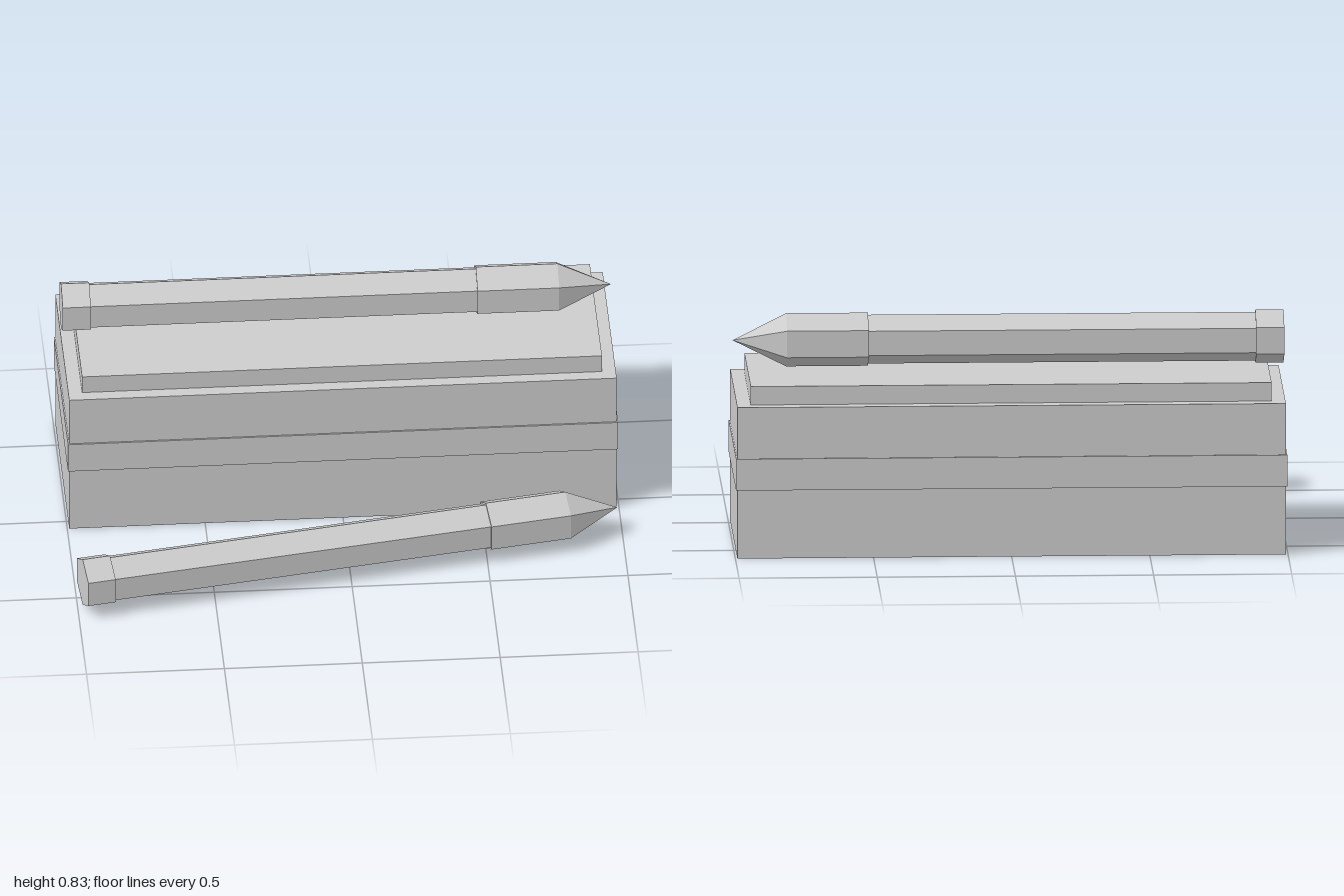
import * as THREE from 'three';

export function createModel() {
  const model = new THREE.Group();
  model.name = 'pencilsAndBox';
  const grey = new THREE.MeshStandardMaterial({ color: 0xcccccc, flatShading: true });
  grey.name = 'plain grey';

  // Box: body, raised band around it and stepped lid, all centred on z = -0.3
  const box = new THREE.Group();
  box.name = 'pencilBox';
  const slab = (name, width, depth, bottom, top) => {
    const mesh = new THREE.Mesh(new THREE.BoxGeometry(width, top - bottom, depth), grey);
    mesh.name = name;
    mesh.position.set(0, (bottom + top) / 2, -0.3);
    box.add(mesh);
  };
  slab('boxBody', 1.985, 0.694, 0, 0.557);
  slab('boxBand', 1.995, 0.706, 0.252, 0.368);
  slab('boxLid', 1.885, 0.6, 0.557, 0.625);
  model.add(box);

  // Six-sided section along x, with a ridge at top and bottom
  const hexPart = (name, x0, x1, r0, r1) => {
    const geometry = new THREE.CylinderGeometry(r1, r0, x1 - x0, 6, 1, false, Math.PI / 2);
    geometry.rotateZ(-Math.PI / 2);
    const mesh = new THREE.Mesh(geometry, grey);
    mesh.name = name;
    mesh.position.x = (x0 + x1) / 2;
    return mesh;
  };

  // Pencil: end cap, shaft, collar and pointed tip
  const addPencil = (name, y, z, turn) => {
    const pencil = new THREE.Group();
    pencil.name = name;
    pencil.add(
      hexPart('endCap', -0.997, -0.895, 0.098, 0.098),
      hexPart('shaft', -0.895, 0.507, 0.09, 0.09),
      hexPart('collar', 0.507, 0.803, 0.098, 0.098),
      hexPart('tip', 0.803, 0.997, 0.098, 0),
    );
    pencil.position.set(0, y, z);
    pencil.rotation.y = turn;
    model.add(pencil);
  };
  addPencil('upperPencil', 0.735, -0.3, 0);
  addPencil('lowerPencil', 0.11, 0.391, THREE.MathUtils.degToRad(10));

  return model;
}
